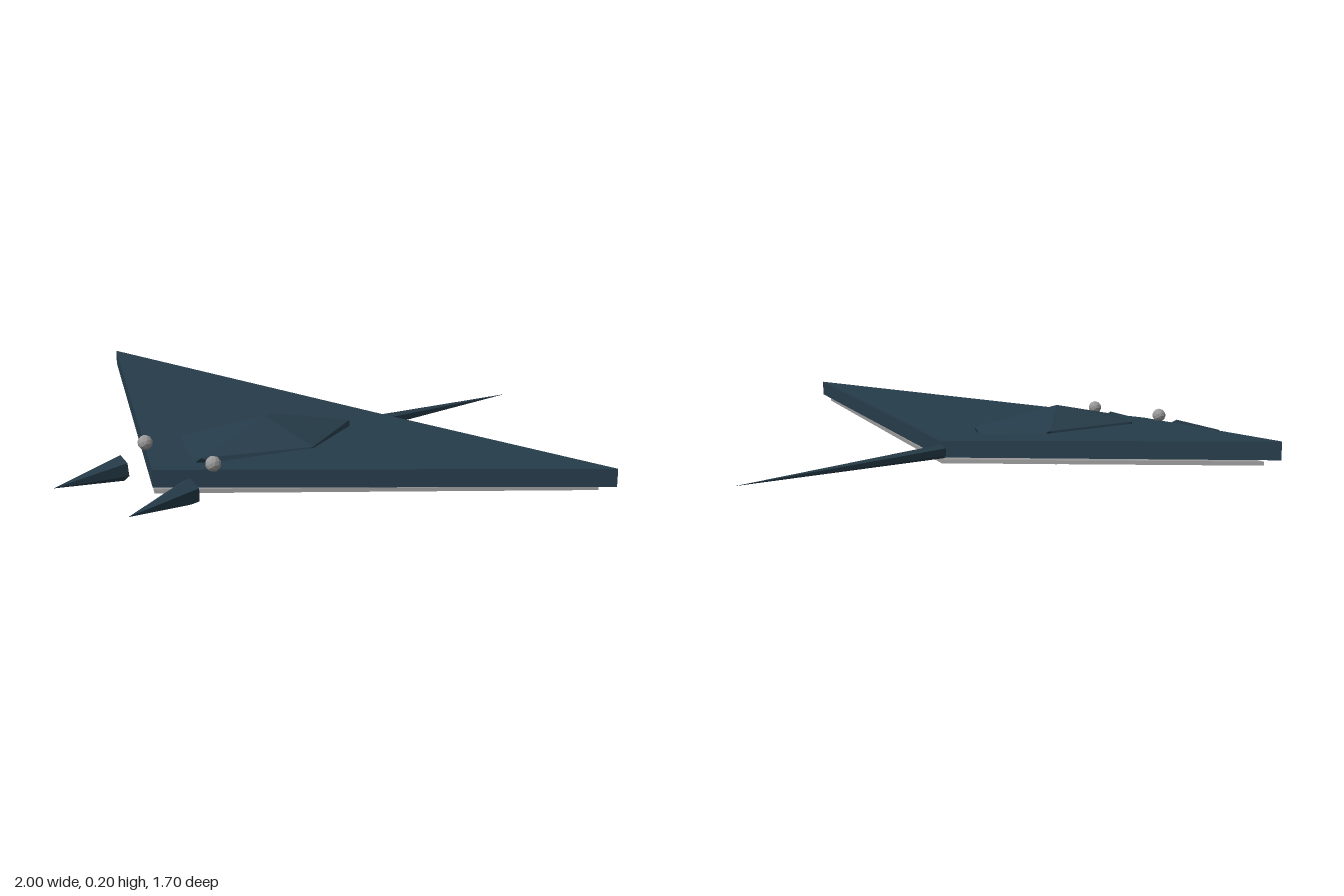
import * as THREE from 'three';
import { ConvexGeometry } from 'three/addons/geometries/ConvexGeometry.js';

const skin = new THREE.MeshStandardMaterial({ name: 'darkTealSkin', color: 0x263c4a, flatShading: true });
const pale = new THREE.MeshStandardMaterial({ name: 'paleGrey', color: 0x999999, flatShading: true });

function part(name, geometry, material) {
  const mesh = new THREE.Mesh(geometry, material);
  mesh.name = name;
  return mesh;
}

// Kite-shaped slab folded upwards along its nose-to-tail line
function foldedKite(span, nose, tail, tipZ, midY, tipY) {
  const corners = [];
  for (const k of [1, 0]) {
    corners.push(0, midY[k], nose, span, tipY[k], tipZ, 0, midY[k], tail, -span, tipY[k], tipZ);
  }
  const index = [0, 1, 2, 0, 2, 3, 4, 6, 5, 4, 7, 6];
  for (let i = 0; i < 4; i++) {
    const j = (i + 1) % 4;
    index.push(i + 4, j + 4, j, i + 4, j, i);
  }
  const g = new THREE.BufferGeometry();
  g.setAttribute('position', new THREE.Float32BufferAttribute(corners, 3));
  g.setIndex(index);
  const flat = g.toNonIndexed();
  flat.computeVertexNormals();
  return flat;
}

// Cone running from a base centre to a tip
function spike(from, to, radius, sides) {
  const a = new THREE.Vector3(...from), b = new THREE.Vector3(...to);
  const dir = b.clone().sub(a);
  const g = new THREE.ConeGeometry(radius, dir.length(), sides);
  g.applyQuaternion(new THREE.Quaternion().setFromUnitVectors(new THREE.Vector3(0, 1, 0), dir.normalize()));
  const mid = a.add(b).multiplyScalar(0.5);
  return g.translate(mid.x, mid.y, mid.z);
}

// Twenty-sided body with poles up and down and two staggered rings of five
function bodyGeometry() {
  const points = [new THREE.Vector3(0, 1, 0), new THREE.Vector3(0, -1, 0)];
  for (let i = 0; i < 5; i++) {
    const a = (i * Math.PI * 2) / 5;
    const x = 0.894 * Math.cos(a), z = 0.894 * Math.sin(a);
    points.push(new THREE.Vector3(x, 0.447, z), new THREE.Vector3(-x, -0.447, z));
  }
  const scale = new THREE.Vector3(0.213, 0.093, 0.33);
  points.forEach((p) => p.multiply(scale));
  return new ConvexGeometry(points).translate(0, 0.098, 0.273);
}

export function createModel() {
  const model = new THREE.Group();
  model.name = 'ray';

  // Wings and pale underside
  model.add(part('wings', foldedKite(1, 0.67, -0.18, 0.06, [0.072, 0.12], [0.16, 0.205]), skin));
  model.add(part('belly', foldedKite(0.95, 0.665, -0.178, 0.06, [0.055, 0.066], [0.141, 0.151]), pale));

  // Central body
  model.add(part('body', bodyGeometry(), skin));

  // Tail
  model.add(part('tail', spike([0, 0.09, -0.165], [0, 0.065, -0.84], 0.021, 6), skin));

  // Eyes and head fins
  for (const [side, s] of [['left', 1], ['right', -1]]) {
    const eye = part(side + 'Eye', new THREE.IcosahedronGeometry(0.021, 1), pale);
    eye.position.set(s * 0.143, 0.148, 0.583);
    model.add(eye);
    model.add(part(side + 'HeadFin', spike([s * 0.145, 0.092, 0.66], [s * 0.16, 0.078, 0.865], 0.036, 6), skin));
  }
  return model;
}
